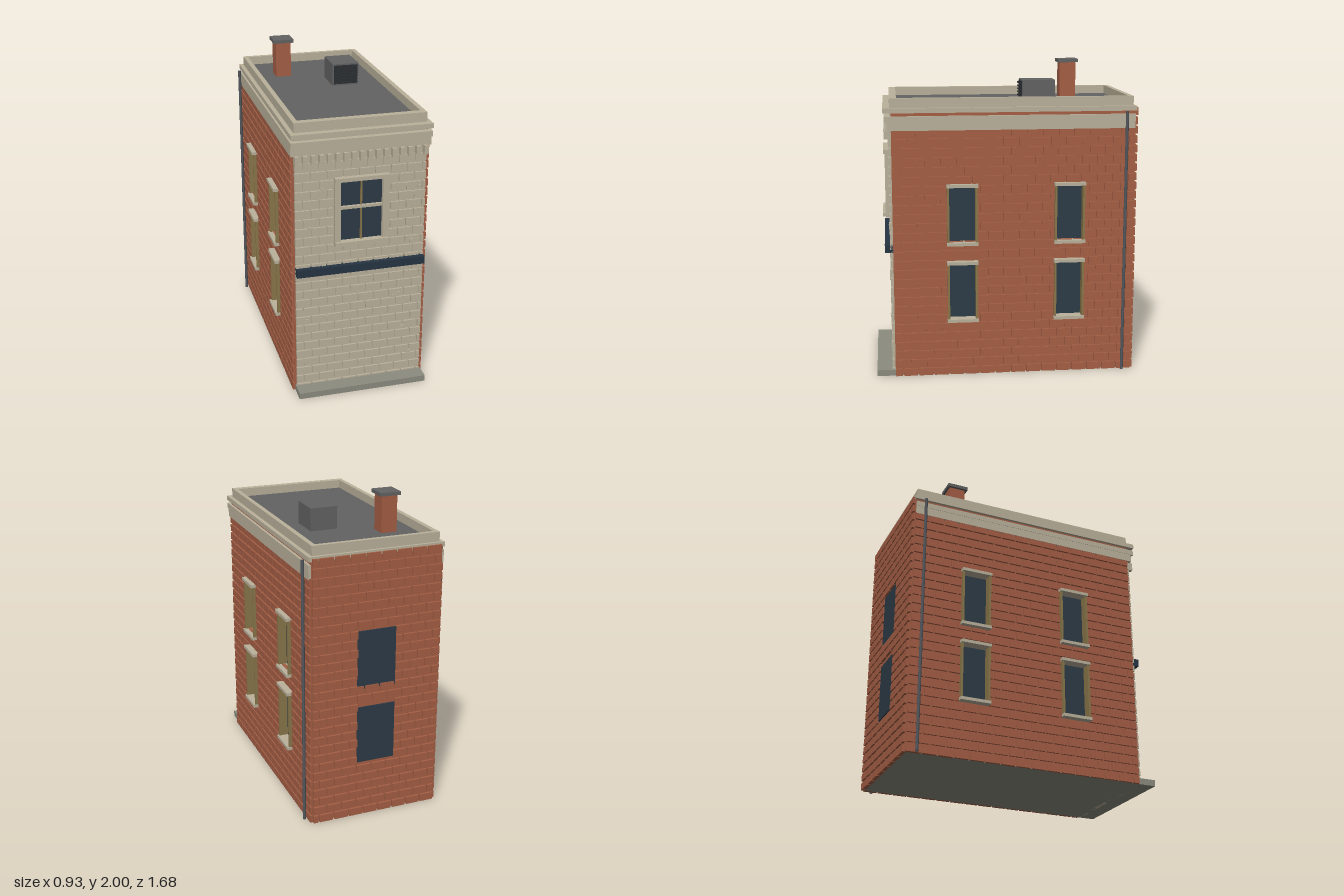
import * as THREE from 'three';
import { mergeGeometries } from 'three/addons/utils/BufferGeometryUtils.js';

const material = (name, color) => {
  const m = new THREE.MeshStandardMaterial({ color });
  m.name = name;
  return m;
};

// box geometry from its limits on each axis
function span(x0, x1, y0, y1, z0, z1) {
  return new THREE.BoxGeometry(x1 - x0, y1 - y0, z1 - z0)
    .translate((x0 + x1) / 2, (y0 + y1) / 2, (z0 + z1) / 2);
}

// running-bond layout: list of [u0, u1, y0, y1], cut around rectangular openings
function courses(u0, u1, top, openings) {
  const pitch = 0.1, joint = 0.01, rise = 0.06, height = 0.048;
  const bricks = [];
  for (let row = 0; row * rise + height <= top + 0.001; row++) {
    const y = row * rise;
    const cuts = openings.filter(o => y + height / 2 > o[2] && y + height / 2 < o[3]);
    for (let u = u0 - (row % 2) * pitch / 2; u < u1; u += pitch) {
      let pieces = [[Math.max(u, u0), Math.min(u + pitch - joint, u1)]];
      for (const [c0, c1] of cuts) {
        pieces = pieces.flatMap(([a, b]) =>
          b <= c0 || a >= c1 ? [[a, b]] : [[a, Math.min(b, c0)], [Math.max(a, c1), b]]);
      }
      for (const [a, b] of pieces) if (b - a > 0.008) bricks.push([a, b, y, y + height]);
    }
  }
  return bricks;
}

// rectangle outline for walls and their openings
function rectangle(Type, u0, u1, y0, y1) {
  return new Type([[u0, y0], [u1, y0], [u1, y1], [u0, y1]].map(p => new THREE.Vector2(...p)));
}

export function createModel() {
  const brick = material('brick', 0xa55f45);
  const stone = material('pale stone', 0xbbb29c);
  const glass = material('window glass', 0x2d3b47);
  const roofing = material('grey roofing', 0x636363);
  const footing = material('footing', 0x8d8c7f);
  const metal = material('pipe metal', 0x53585d);
  const vent = material('dark vent', 0x2a2f33);
  const timber = material('olive timber', 0x8a774b);
  const navy = material('navy trim', 0x263543);

  const model = new THREE.Group();
  model.name = 'townhouse';
  const add = (name, mat, ...geometries) => {
    const mesh = new THREE.Mesh(geometries.length > 1 ? mergeGeometries(geometries) : geometries[0], mat);
    mesh.name = name;
    model.add(mesh);
  };

  // footing with front step, solid core and front backing
  add('footing', footing, span(-0.418, 0.418, 0, 0.04, -0.82, 0.84));
  add('wallCore', brick, span(-0.39, 0.39, 0.004, 1.71, -0.825, 0.722));
  add('frontBacking', stone, span(-0.408, 0.408, 0.04, 1.715, 0.7, 0.73));

  // openings
  const floors = [[0.37, 0.75], [0.875, 1.25]];
  const sideZ = [0.283, -0.405];
  const sideOpenings = floors.flatMap(([a, b]) => sideZ.map(z => [z - 0.095, z + 0.095, a, b]));
  const backOpenings = [[-0.125, 0.125, 0.37, 0.745], [-0.125, 0.125, 0.87, 1.245]];

  // side walls with window holes, and their bricks
  for (const s of [-1, 1]) {
    const wall = rectangle(THREE.Shape, -0.825, 0.722, 0.004, 1.71);
    wall.holes = sideOpenings.map(o => rectangle(THREE.Path, ...o));
    add('sideWall', brick, new THREE.ExtrudeGeometry(wall, { depth: 0.03, bevelEnabled: false })
      .rotateY(-Math.PI / 2).translate(s > 0 ? 0.42 : -0.39, 0, 0));
    add('sideBricks', brick, ...courses(-0.822, 0.72, 1.65, sideOpenings).map(([a, b, y0, y1]) =>
      span(s > 0 ? 0.41 : -0.433, s > 0 ? 0.433 : -0.41, y0, y1, a, b)));
  }

  // back bricks and front stones
  add('backBricks', brick, ...courses(-0.415, 0.415, 1.735, backOpenings)
    .map(([a, b, y0, y1]) => span(a, b, y0, y1, -0.84, -0.815)));
  add('frontStones', stone, ...courses(-0.41, 0.41, 1.6, [[-0.17, 0.17, 1.0, 1.445]])
    .map(([a, b, y0, y1]) => span(a, b, y0, y1, 0.715, 0.742)));

  // small chipped stones scattered on the front
  let seed = 7;
  const random = () => (seed = (seed * 16807) % 2147483647) / 2147483647;
  const chips = [];
  for (let i = 0; i < 18; i++) {
    const x = (random() < 0.5 ? -1 : 1) * (0.2 + random() * 0.17);
    const y = 0.1 + random() * 1.35;
    chips.push(span(x, x + 0.025, y, y + 0.02, 0.735, 0.747));
  }
  add('stoneChips', stone, ...chips);

  // side windows: recessed glass, timber jambs, stone sill and lintel
  for (const s of [-1, 1]) {
    const across = (x0, x1, ...rest) => span(Math.min(s * x0, s * x1), Math.max(s * x0, s * x1), ...rest);
    for (const z of sideZ) for (const [y0, y1] of floors) {
      add('sideWindowGlass', glass, across(0.388, 0.397, y0, y1, z - 0.095, z + 0.095));
      add('sideWindowJambs', timber, ...[-1, 1].map(e =>
        across(0.392, 0.453, y0, y1, z + e * 0.09 - 0.007, z + e * 0.09 + 0.007)));
      add('sideWindowSillAndLintel', stone, ...[y0, y1].map(y =>
        across(0.392, 0.465, y - 0.01, y + 0.01, z - 0.1, z + 0.1)));
    }
  }

  // back windows
  for (const [x0, x1, y0, y1] of backOpenings) {
    add('backWindowGlass', glass, span(x0, x1, y0, y1, -0.835, -0.827));
  }

  // front window: glass, casing, glazing bars, sill and lintel
  add('frontWindowGlass', glass, span(-0.14, 0.14, 1.02, 1.43, 0.73, 0.738));
  add('frontWindowCasing', stone,
    span(-0.17, -0.132, 1.0, 1.44, 0.72, 0.765), span(0.132, 0.17, 1.0, 1.44, 0.72, 0.765),
    span(-0.17, 0.17, 1.42, 1.445, 0.72, 0.775), span(-0.17, 0.17, 1.005, 1.03, 0.72, 0.782));
  add('frontWindowBar', stone, span(-0.132, 0.132, 1.237, 1.255, 0.73, 0.756));
  add('frontWindowMullion', timber, span(-0.005, 0.005, 1.03, 1.42, 0.73, 0.75));

  // navy band above the ground floor
  add('frontBand', navy, span(-0.41, 0.41, 0.82, 0.87, 0.72, 0.775));

  // cornice ledges and dentils
  add('corniceLedges', stone,
    span(-0.437, 0.437, 1.71, 1.74, -0.828, 0.772),
    span(-0.437, 0.437, 1.655, 1.69, -0.82, 0.765),
    span(-0.435, 0.435, 1.6, 1.655, -0.82, 0.748));
  const dentils = [];
  for (let i = 0; i < 17; i++) {
    const x = -0.4 + i * 0.05;
    dentils.push(span(x - 0.013, x + 0.013, i % 2 ? 1.555 : 1.545, 1.602, 0.72, 0.768));
  }
  add('dentils', stone, ...dentils);

  // parapet ring and flat roof
  add('parapet', stone,
    span(-0.41, -0.38, 1.735, 1.8, -0.81, 0.73), span(0.38, 0.41, 1.735, 1.8, -0.81, 0.73),
    span(-0.38, 0.38, 1.735, 1.8, -0.81, -0.78), span(-0.38, 0.38, 1.735, 1.8, 0.685, 0.73));
  add('roof', roofing, span(-0.38, 0.38, 1.735, 1.745, -0.78, 0.685));

  // chimney
  add('chimneyShaft', brick, span(-0.256, -0.154, 1.74, 1.98, -0.535, -0.427));
  add('chimneyCap', roofing, span(-0.273, -0.137, 1.978, 2, -0.55, -0.412));

  // rooftop vent unit with louvres
  add('ventUnit', roofing, span(0.057, 0.233, 1.74, 1.89, -0.335, -0.122));
  add('ventPanel', vent, span(0.065, 0.225, 1.755, 1.88, -0.123, -0.118));
  const slats = [];
  for (let i = 0; i < 6; i++) slats.push(span(0.065, 0.225, 1.762 + i * 0.02, 1.77 + i * 0.02, -0.12, -0.11));
  add('ventLouvres', vent, ...slats);

  // drainpipes
  for (const s of [-1, 1]) {
    add('drainpipe', metal, new THREE.CylinderGeometry(0.01, 0.01, 1.71, 10).translate(s * 0.45, 0.855, -0.763));
  }
  return model;
}
